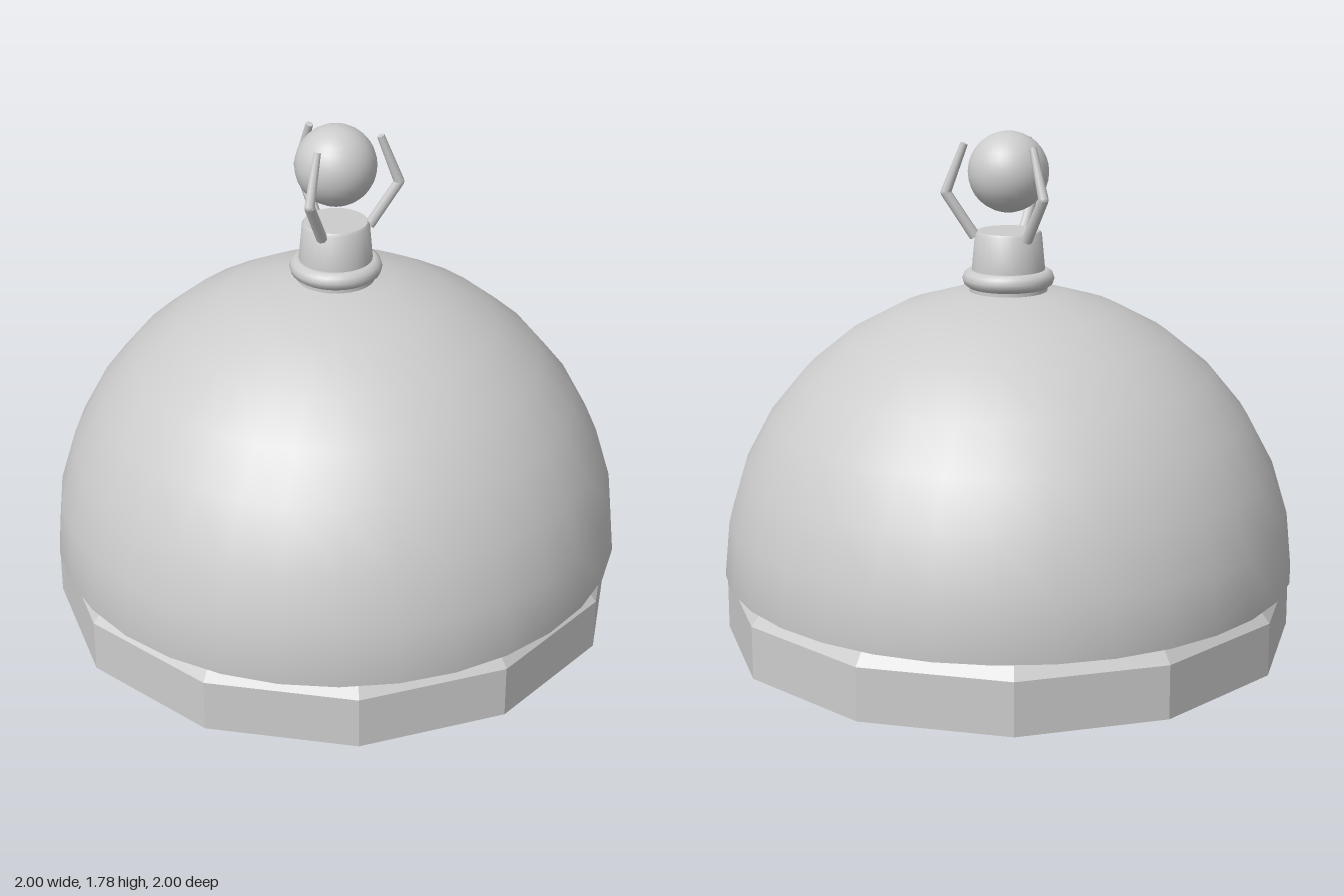
import * as THREE from 'three';
import { toCreasedNormals } from 'three/addons/utils/BufferGeometryUtils.js';

const metal = new THREE.MeshStandardMaterial({ color: 0xcccccc });
metal.name = 'grey metal';

const UP = new THREE.Vector3(0, 1, 0);

function part(name, geometry, parent, y = 0) {
  const mesh = new THREE.Mesh(geometry, metal);
  mesh.name = name;
  mesh.position.y = y;
  parent.add(mesh);
  return mesh;
}

// Turn [radius, height] pairs into a lathe profile
const lathe = (pairs, sides) =>
  new THREE.LatheGeometry(pairs.map(([r, y]) => new THREE.Vector2(r, y)), sides);

// Quarter-circle profile, from rim (t = 0) to crown (t = 1)
function dome(radius, y, steps = 8) {
  return Array.from({ length: steps + 1 }, (_, i) => {
    const a = (i / steps) * Math.PI / 2;
    return [i === steps ? 0 : radius * Math.cos(a), y + radius * Math.sin(a)];
  });
}

// Tapered rod between two points
function rod(name, a, b, ra, rb, parent) {
  const dir = b.clone().sub(a);
  const mesh = part(name, new THREE.CylinderGeometry(rb, ra, dir.length(), 8), parent);
  mesh.position.copy(a).add(b).multiplyScalar(0.5);
  mesh.quaternion.setFromUnitVectors(UP, dir.normalize());
  return mesh;
}

export function createModel() {
  const model = new THREE.Group();
  model.name = 'domedCover';

  // Twelve-sided base with a chamfered top edge
  const base = lathe([[0, 0], [1, 0], [1, 0.185], [0.93, 0.27], [0, 0.27]], 12);
  base.rotateY(Math.PI / 12);
  part('base', toCreasedNormals(base, 0.2), model);

  // Thick shell; normals stay smooth around the rim
  part('dome', lathe([...dome(0.97, 0.24).reverse(), ...dome(1, 0.24)], 32), model);

  // Finial: neck, ring and cup
  const finial = new THREE.Group();
  finial.name = 'finial';
  model.add(finial);
  part('neck', new THREE.CylinderGeometry(0.135, 0.135, 0.07, 32), finial, 1.225);
  const ring = new THREE.TorusGeometry(0.127, 0.032, 10, 32);
  ring.rotateX(Math.PI / 2);
  part('ring', ring, finial, 1.27);
  const cup = lathe([[0.126, 1.26], [0.126, 1.305], [0.115, 1.425], [0.108, 1.434], [0, 1.434]], 32);
  part('cup', toCreasedNormals(cup, 0.6), finial);

  // Ball held above the cup
  part('ball', new THREE.SphereGeometry(0.139, 32, 16), finial, 1.637);

  // Three bent prongs around the ball
  for (let i = 0; i < 3; i++) {
    const prong = new THREE.Group();
    prong.name = 'prong' + (i + 1);
    const foot = new THREE.Vector3(0.115, 1.415, 0);
    const elbow = new THREE.Vector3(0.214, 1.568, 0);
    const tip = new THREE.Vector3(0.15, 1.735, 0);
    rod('lowerProng', foot, elbow, 0.019, 0.018, prong);
    rod('upperProng', elbow, tip, 0.018, 0.013, prong);
    part('elbow', new THREE.SphereGeometry(0.018, 8, 6), prong).position.copy(elbow);
    prong.rotation.y = THREE.MathUtils.degToRad(17 - 120 * i);
    finial.add(prong);
  }

  return model;
}
